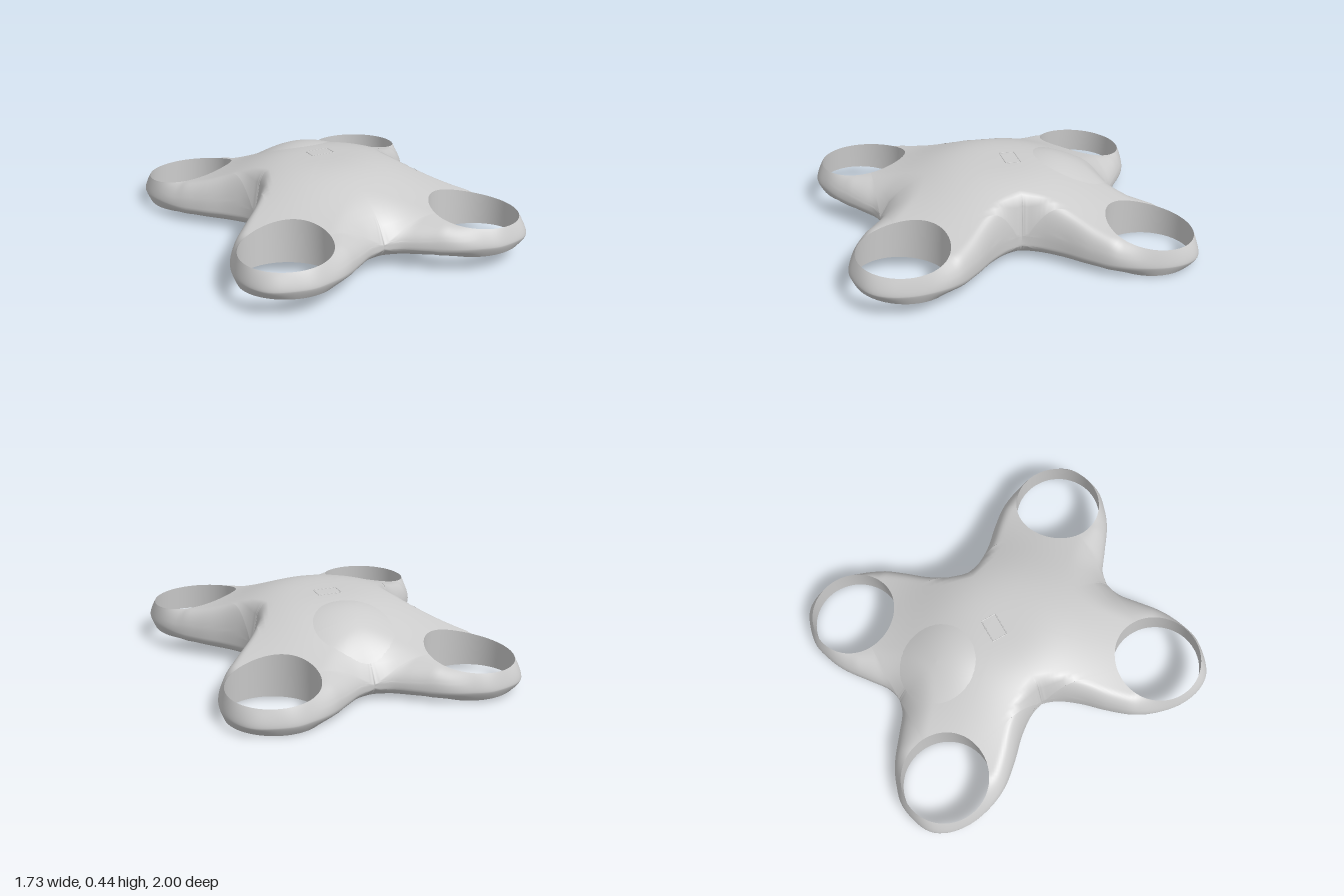
import * as THREE from 'three';
import { mergeVertices, mergeGeometries } from 'three/addons/utils/BufferGeometryUtils.js';

const HOLE = new THREE.Vector2(0.577, 0.707); // rotor duct centre in one quadrant (x, z)
const TOP_R = 0.253, BOTTOM_R = 0.258, BORE_R = 0.195, EDGE_Y = 0.11;

// Outline of one quadrant, from the waist round the duct to the nose
const curve = new THREE.SplineCurve([
  [0.445, 0], [0.455, 0.04], [0.49, 0.11], [0.56, 0.2], [0.67, 0.31], [0.77, 0.43], [0.83, 0.56],
  [0.856, 0.71], [0.83, 0.85], [0.75, 0.945], [0.58, 0.993], [0.45, 0.968], [0.33, 0.915],
  [0.2, 0.82], [0.1, 0.745], [0.04, 0.722], [0, 0.715],
].map(([x, z]) => new THREE.Vector2(x, z)));
const fine = curve.getSpacedPoints(360);
const outline = fine.filter((_, i) => i % 5 === 0);

// Each side: height by distance from the centre, width of the rounded edge, duct radius
const crown = {
  base: (r) => 0.178 + 0.258 / (1 + (r / 0.6) ** 3.5),
  width: (p) => 0.07 + 0.15 * (p.y / (p.length() + 1e-9)) ** 4,
  holeR: TOP_R,
};
const belly = {
  base: (r) => 0.02 + 0.033 * (r / 1.1) ** 2,
  width: () => 0.12,
  holeR: BOTTOM_R,
};

// Height at (x, z): rounded towards the outline, chamfered where the duct lip is thin
function height(p, side) {
  let d = Infinity;
  for (const q of fine) d = Math.min(d, p.distanceTo(q));
  const room = d + Math.max(0, p.distanceTo(HOLE) - side.holeR) + 1e-9;
  const t = Math.min(1, d / Math.min(side.width(p), room));
  const round = Math.sqrt(1 - (1 - t) ** 2);
  const blend = Math.min(1, room / 0.1);
  return EDGE_Y + (side.base(p.length()) - EDGE_Y) * (t + (round - t) * blend);
}

// Outer boundary of a quadrant; radius > 0 leaves a round opening at the centre
function boundary(radius) {
  const pts = [...outline];
  const n = 14;
  for (let i = 1; i <= n; i++) pts.push(new THREE.Vector2(0, 0.715 + (radius - 0.715) * i / n));
  if (radius > 0) {
    for (let i = 1; i <= 12; i++) {
      const a = Math.PI / 2 * (1 - i / 12);
      pts.push(new THREE.Vector2(radius * Math.cos(a), radius * Math.sin(a)));
    }
  }
  for (let i = 1; i <= n; i++) pts.push(new THREE.Vector2(radius + (0.445 - radius) * i / n, 0));
  return pts;
}

const rim = (b, side) => b.clone().sub(HOLE).setLength(side.holeR).add(HOLE);

// Grid of points [x, y, z] mirrored into all four quadrants
function mirroredGrid(rows, flip) {
  const pos = [], idx = [];
  const m = rows[0].length;
  for (const sx of [1, -1]) for (const sz of [1, -1]) {
    const start = pos.length / 3;
    for (const row of rows) for (const [x, y, z] of row) pos.push(x * sx, y, z * sz);
    const reverse = (sx * sz < 0) !== flip;
    for (let i = 0; i < rows.length - 1; i++) for (let j = 0; j < m - 1; j++) {
      const a = start + i * m + j, b = a + m, c = b + 1, d = a + 1;
      if (reverse) idx.push(a, c, b, a, d, c);
      else idx.push(a, b, c, a, c, d);
    }
  }
  const g = new THREE.BufferGeometry();
  g.setAttribute('position', new THREE.Float32BufferAttribute(pos, 3));
  g.setIndex(idx);
  return g;
}

// Skin between the duct rim and the quadrant boundary
function skin(radius, side, flip) {
  const steps = 18;
  const rows = boundary(radius).map((b) => {
    const a = rim(b, side), row = [];
    for (let j = 0; j <= steps; j++) {
      const p = a.clone().lerp(b, 1 - (1 - j / steps) ** 2);
      row.push([p.x, height(p, side), p.y]);
    }
    return row;
  });
  return mirroredGrid(rows, flip);
}

function smooth(g) {
  const merged = mergeVertices(g, 1e-4);
  merged.computeVertexNormals();
  return merged;
}

// Shallow round swelling that lies on the crown, sunk a little at its border
function swelling(radius, rise, cz) {
  const g = new THREE.RingGeometry(0.001, radius, 40, 10).rotateX(-Math.PI / 2).translate(0, 0, cz);
  const p = g.attributes.position;
  for (let i = 0; i < p.count; i++) {
    const x = p.getX(i), z = p.getZ(i);
    const k = Math.hypot(x, z - cz) / radius;
    const y = height(new THREE.Vector2(Math.abs(x), Math.abs(z)), crown);
    p.setY(i, y + rise * (1 - k * k) - 0.003 * k);
  }
  g.computeVertexNormals();
  return g;
}

export function createModel() {
  const group = new THREE.Group();
  const airframe = new THREE.Group();
  airframe.name = 'airframe';
  airframe.rotation.set(-0.05, -0.012, -0.012); // slight nose-up attitude
  airframe.position.z = 0.007;
  group.add(airframe);

  const mat = new THREE.MeshStandardMaterial({ color: 0xcccccc });
  const open = new THREE.MeshStandardMaterial({ color: 0xcccccc, side: THREE.DoubleSide });
  const add = (name, geometry, material = mat) => {
    const mesh = new THREE.Mesh(geometry, material);
    mesh.name = name;
    airframe.add(mesh);
  };

  // Crown and belly joined round the outline
  add('bodyShell', smooth(mergeGeometries([skin(0, crown, false), skin(BORE_R, belly, true)])));
  add('rearCanopy', swelling(0.24, 0.026, -0.43));

  // Inner walls of the four rotor ducts, widening downwards
  const walls = boundary(BORE_R).map((b) => [belly, crown].map((side) => {
    const a = rim(b, side);
    return [a.x, side.base(a.length()), a.y];
  }));
  add('ductWalls', smooth(mirroredGrid(walls, false)), open);

  // Round recess under the body
  const depth = 0.32, floor = belly.base(BORE_R);
  add('bellyRecessWall', new THREE.CylinderGeometry(BORE_R, BORE_R, depth, 48, 1, true)
    .translate(0, floor + depth / 2, 0), open);
  add('bellyRecessCeiling', new THREE.CircleGeometry(BORE_R, 48)
    .rotateX(Math.PI / 2).translate(0, floor + depth, 0));

  // Fine seam lines of the hatch and the spine, laid along the crown
  const seam = (name, x0, z0, x1, z1) => {
    const pts = [0, 0.25, 0.5, 0.75, 1].map((t) => {
      const x = x0 + (x1 - x0) * t, z = z0 + (z1 - z0) * t;
      return new THREE.Vector3(x, crown.base(Math.hypot(x, z)), z);
    });
    add(name, new THREE.TubeGeometry(new THREE.CatmullRomCurve3(pts), 8, 0.003, 6));
  };
  for (const s of [1, -1]) {
    seam('hatchSide', s * 0.07, -0.095, s * 0.07, -0.005);
    seam('hatchEnd', -0.07, -0.05 + s * 0.045, 0.07, -0.05 + s * 0.045);
  }
  return group;
}
